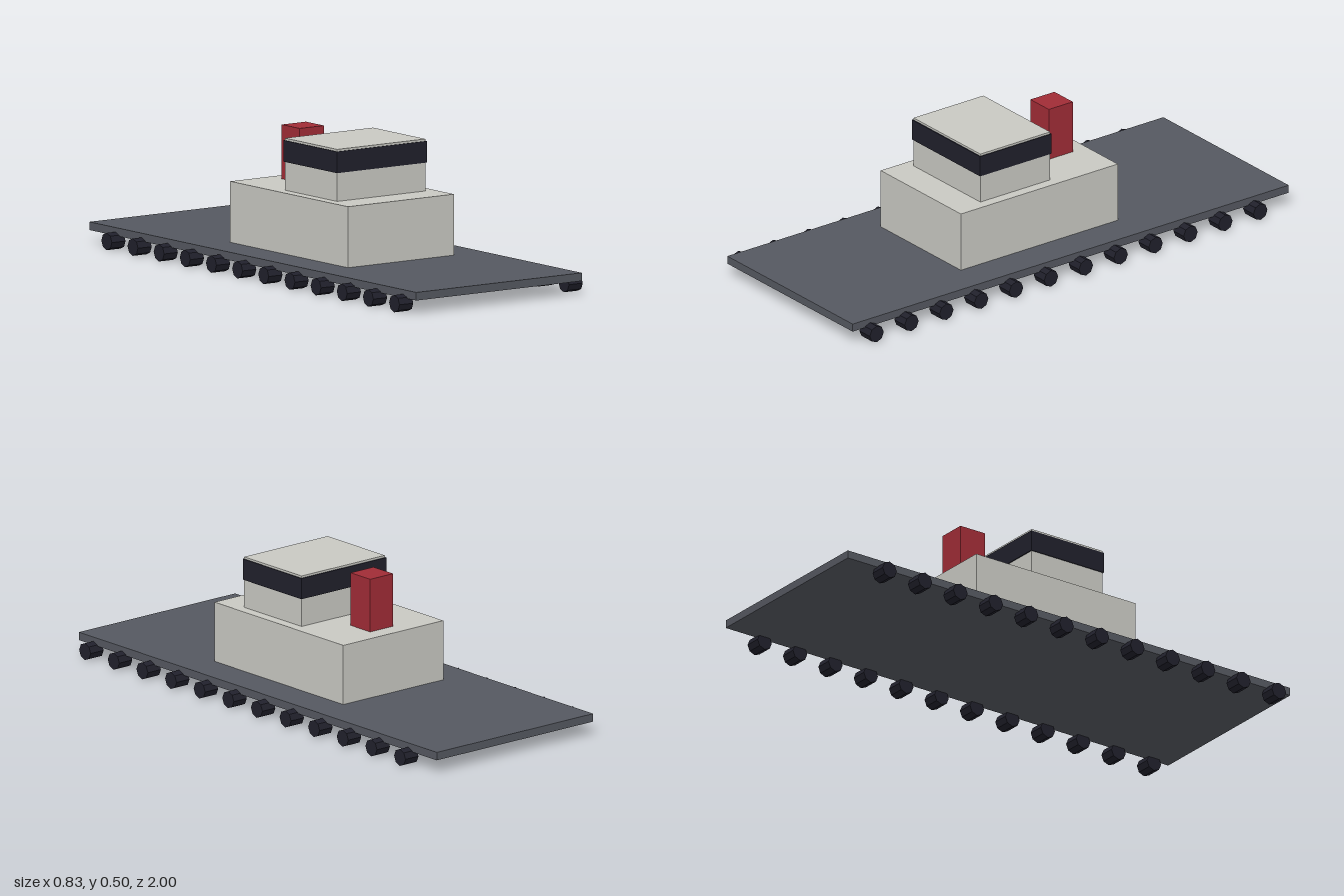
import * as THREE from 'three';

const material = (name, color, flatShading = false) => {
  const m = new THREE.MeshStandardMaterial({ color, flatShading });
  m.name = name;
  return m;
};

export function createModel() {
  const model = new THREE.Group();
  model.name = 'ferryPlatform';

  const deckGrey = material('deckGrey', 0x555860);
  const paleGrey = material('paleGrey', 0xc8c8c2);
  const darkNavy = material('darkNavy', 0x20202b, true);
  const funnelRed = material('funnelRed', 0xa02c36);

  // Box from its width, vertical range and depth range, centred on x
  const addBox = (name, mat, width, y0, y1, z0, z1) => {
    const mesh = new THREE.Mesh(new THREE.BoxGeometry(width, y1 - y0, z1 - z0), mat);
    mesh.position.set(0, (y0 + y1) / 2, (z0 + z1) / 2);
    mesh.name = name;
    model.add(mesh);
  };

  addBox('deck', deckGrey, 0.75, 0.05, 0.08, -1, 1);
  addBox('deckhouse', paleGrey, 0.48, 0.08, 0.305, -0.32, 0.4);
  addBox('bridge', paleGrey, 0.4, 0.305, 0.497, -0.04, 0.28);
  addBox('bridgeWindowBand', darkNavy, 0.407, 0.41, 0.489, -0.044, 0.284);
  addBox('funnel', funnelRed, 0.11, 0.305, 0.505, -0.255, -0.145);

  // Row of fenders along both sides of the deck
  const fenderGeometry = new THREE.CylinderGeometry(0.032, 0.032, 0.062, 8).rotateZ(Math.PI / 2);
  const fenders = new THREE.Group();
  fenders.name = 'fenders';
  for (const side of [-1, 1]) {
    for (let i = 0; i < 12; i++) {
      const fender = new THREE.Mesh(fenderGeometry, darkNavy);
      fender.position.set(side * 0.384, 0.032, 0.92 - i * 0.16);
      fender.name = side > 0 ? 'leftFender' : 'rightFender';
      fenders.add(fender);
    }
  }
  model.add(fenders);

  return model;
}
